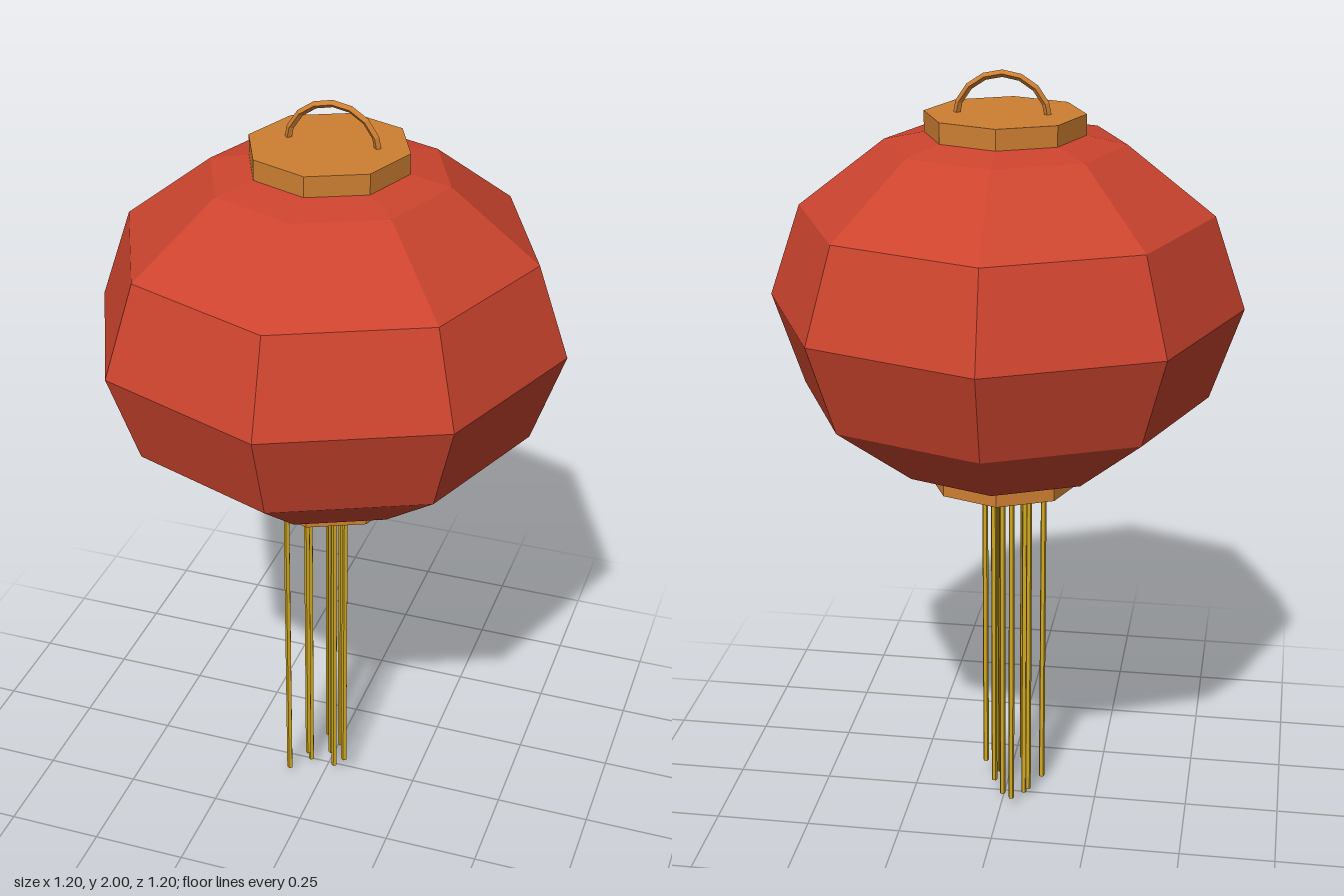
import * as THREE from 'three';

export function createModel() {
  const model = new THREE.Group();
  model.name = 'hangingLantern';

  const paperRed = new THREE.MeshStandardMaterial({ color: 0xcc442e, flatShading: true });
  paperRed.name = 'paper red';
  const bronze = new THREE.MeshStandardMaterial({ color: 0xcd7f32, flatShading: true });
  bronze.name = 'bronze';
  const gold = new THREE.MeshStandardMaterial({ color: 0xd0a820, flatShading: true });
  gold.name = 'gold thread';

  const add = (parent, name, geometry, material, x, y, z) => {
    const mesh = new THREE.Mesh(geometry, material);
    mesh.name = name;
    mesh.position.set(x, y, z);
    parent.add(mesh);
    return mesh;
  };

  const centreY = 1.415;
  const twist = 0.035; // the octagonal parts are turned slightly

  // Faceted, flattened paper body
  const body = add(model, 'body', new THREE.SphereGeometry(0.6, 8, 6).scale(1, 0.783, 1), paperRed, 0, centreY, 0);
  body.rotation.y = twist;

  // Octagonal end caps
  const capGeometry = new THREE.CylinderGeometry(0.2, 0.2, 0.055, 8);
  for (const [name, side] of [['topCap', 1], ['bottomCap', -1]]) {
    add(model, name, capGeometry, bronze, 0, centreY + side * 0.452, 0).rotation.y = twist;
  }

  // Half-ring carrying handle
  add(model, 'handle', new THREE.TorusGeometry(0.115, 0.009, 4, 8, Math.PI), bronze, 0.005, 1.876, -0.012);

  // Tassel threads: x, z and height of the lower end
  const tassel = new THREE.Group();
  tassel.name = 'tassel';
  model.add(tassel);
  const threads = [
    [-0.093, 0.07, 0.014], [-0.053, 0, 0], [-0.03, -0.085, 0.03],
    [-0.067, -0.022, 0.025], [0, -0.045, 0.018], [0.03, 0.043, 0.035],
    [0.06, 0.045, 0.065], [0.012, 0.013, 0.052], [0.025, -0.03, 0.05],
    [-0.04, 0.06, 0.075],
  ];
  const topY = 0.96;
  for (const [x, z, bottom] of threads) {
    const length = topY - bottom;
    add(tassel, 'thread', new THREE.CylinderGeometry(0.008, 0.008, length, 5), gold, x, bottom + length / 2, z);
  }

  return model;
}
